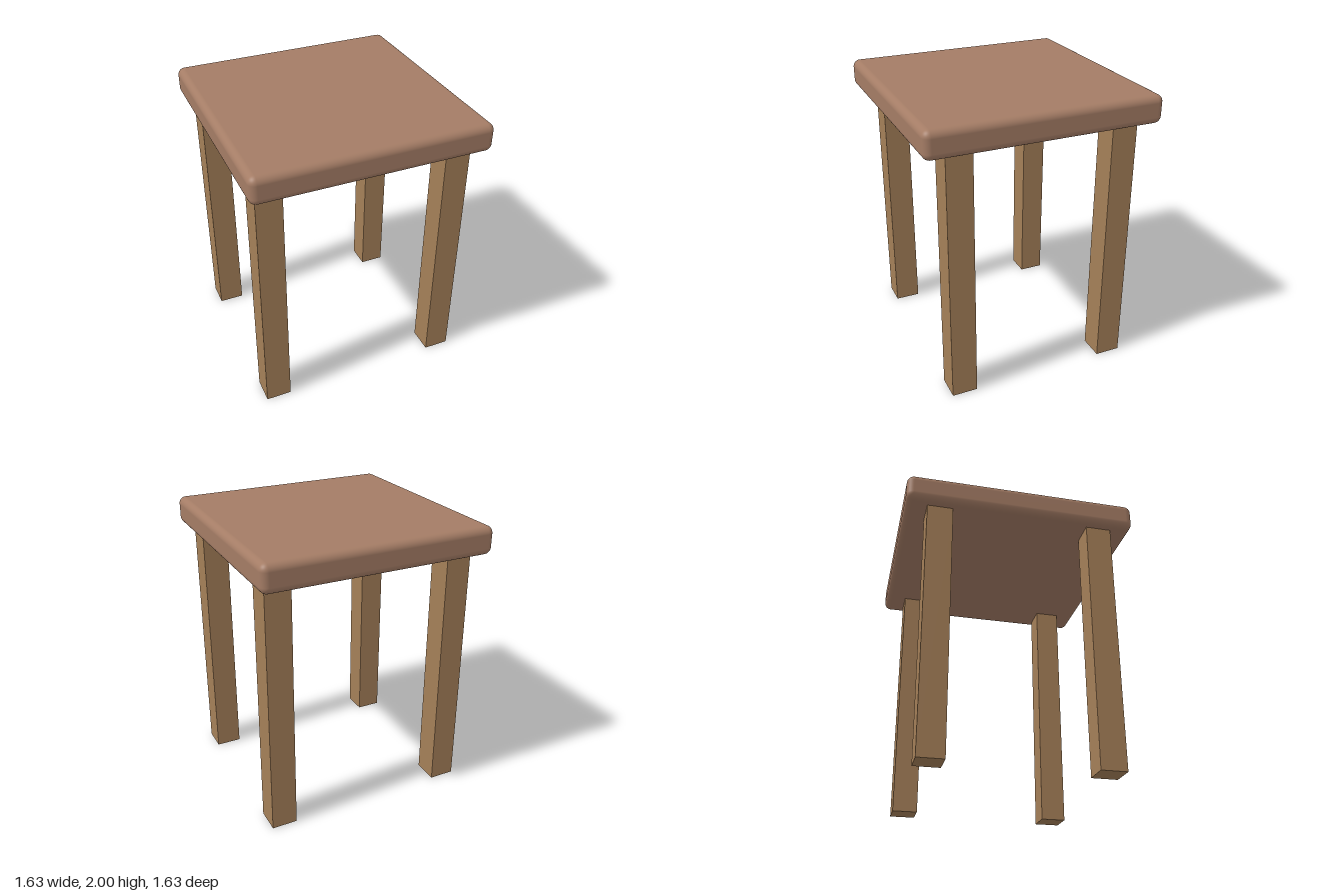
import * as THREE from 'three';
import { RoundedBoxGeometry } from 'three/addons/geometries/RoundedBoxGeometry.js';

const HEIGHT = 2;
const SEAT = { width: 1.63, thickness: 0.195, radius: 0.05 };
const LEG = { width: 0.18, x: 0.655, z: 0.574 };

export function createModel() {
  const stool = new THREE.Group();
  stool.name = 'stool';

  const seatWood = new THREE.MeshStandardMaterial({ color: 0xa47c65 });
  const legWood = new THREE.MeshStandardMaterial({ color: 0xa47f58 });

  // Square slab with softly rounded edges
  const seat = new THREE.Mesh(
    new RoundedBoxGeometry(SEAT.width, SEAT.thickness, SEAT.width, 5, SEAT.radius),
    seatWood
  );
  seat.name = 'seat';
  seat.position.y = HEIGHT - SEAT.thickness / 2;
  stool.add(seat);

  // Four straight square legs, mirrored across both axes
  const legHeight = HEIGHT - SEAT.thickness;
  const legGeometry = new THREE.BoxGeometry(LEG.width, legHeight, LEG.width);
  for (const [end, sz] of [['front', 1], ['back', -1]]) {
    for (const [side, sx] of [['Left', 1], ['Right', -1]]) {
      const leg = new THREE.Mesh(legGeometry, legWood);
      leg.name = `${end}${side}Leg`;
      leg.position.set(sx * LEG.x, legHeight / 2, sz * LEG.z);
      stool.add(leg);
    }
  }

  return stool;
}
